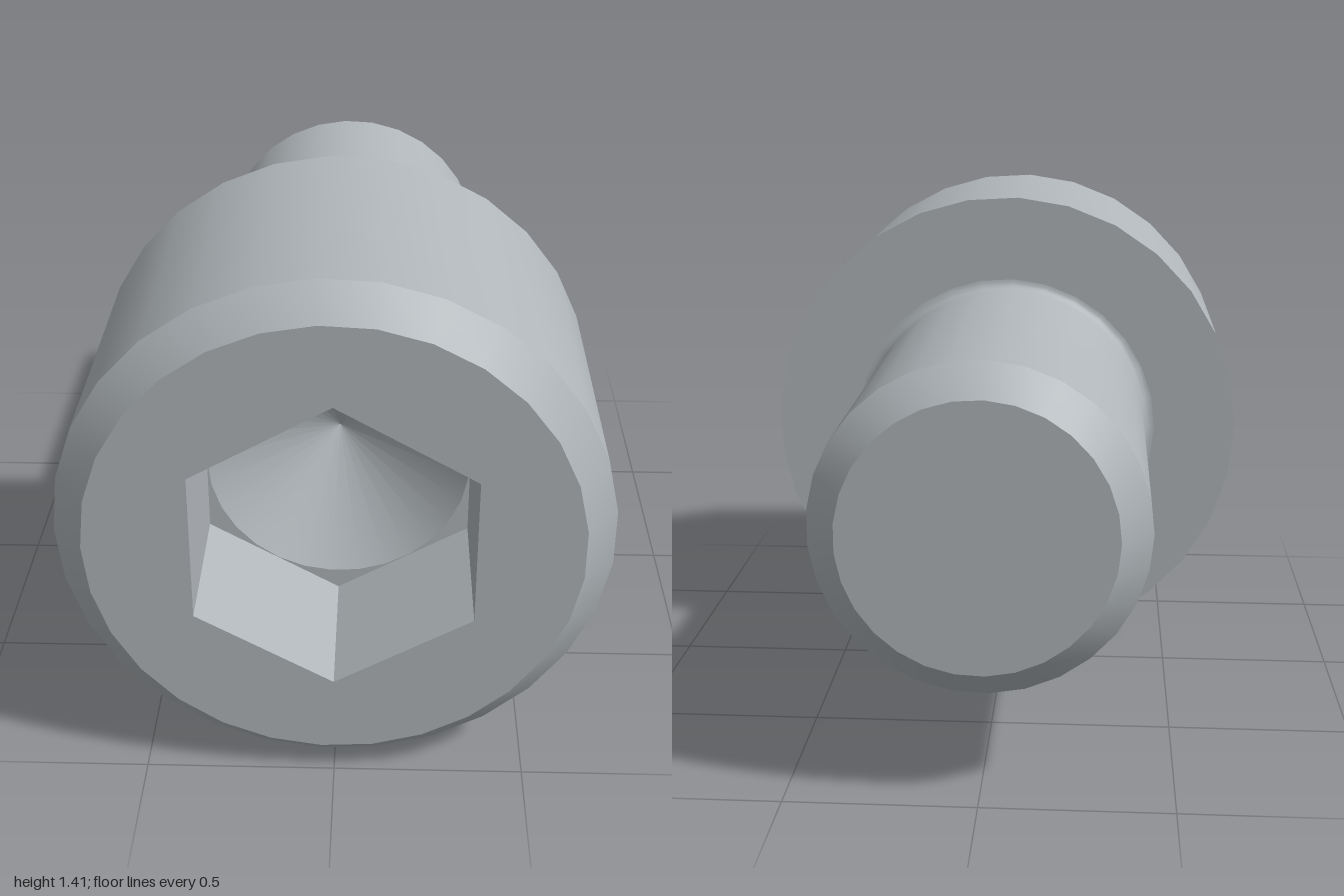
import * as THREE from 'three';
import { toCreasedNormals } from 'three/addons/utils/BufferGeometryUtils.js';

const SIDES = 29, HEAD_R = 0.707, FACE_R = 0.626, SHANK_R = 0.43;
const HEX_R = 0.41, HEX_Z = 0.59, DRILL_R = 0.354;

export function createModel() {
  const steel = new THREE.MeshStandardMaterial({ color: 0xb0b6ba });
  steel.name = 'steel grey';
  const model = new THREE.Group();
  model.name = 'socketHeadScrew';

  const add = (name, geometry) => {
    const mesh = new THREE.Mesh(geometry, steel);
    mesh.name = name;
    mesh.position.y = HEAD_R;
    model.add(mesh);
  };

  // Revolve [radius, z] points about the z axis
  const revolve = (points, sides = SIDES, start = -Math.PI / 2) => {
    const profile = points.map(([r, z]) => new THREE.Vector2(r, z));
    const g = new THREE.LatheGeometry(profile, sides, start).rotateX(Math.PI / 2);
    return toCreasedNormals(g, 0.5);
  };

  const polygon = (radius, sides, start) => Array.from({ length: sides }, (_, i) => {
    const a = start + (i * 2 * Math.PI) / sides;
    return new THREE.Vector2(radius * Math.cos(a), radius * Math.sin(a));
  });

  // Flat polygon with a polygonal hole, facing forwards
  const plate = (outer, inner, z) => {
    const shape = new THREE.Shape(outer);
    shape.holes.push(new THREE.Path(inner));
    return new THREE.ShapeGeometry(shape).translate(0, 0, z);
  };

  // Shank with chamfered tip and a small fillet under the head
  const fillet = [];
  for (let i = 0; i <= 5; i++) {
    const a = (i / 5) * Math.PI / 2;
    fillet.push([SHANK_R + 0.03 * (1 - Math.cos(a)), 0.11 + 0.03 * Math.sin(a)]);
  }
  add('shank', revolve([[0, -1], [0.35, -1], [SHANK_R, -0.92], ...fillet]));

  // Head with chamfered front rim
  add('head', revolve([[SHANK_R + 0.03, 0.14], [HEAD_R, 0.14], [HEAD_R, 0.92], [FACE_R, 1]]));

  // Front face, hexagonal socket and conical drill point
  const hex = polygon(HEX_R, 6, Math.PI / 2);
  add('headFace', plate(polygon(FACE_R, SIDES, Math.PI), hex, 1));
  add('socketWalls', revolve([[HEX_R, 1], [HEX_R, HEX_Z]], 6, 0));
  add('socketFloor', plate(hex, polygon(DRILL_R, SIDES, Math.PI), HEX_Z));
  add('drillPoint', revolve([[DRILL_R, HEX_Z], [0, HEX_Z - 0.205]]));

  return model;
}
